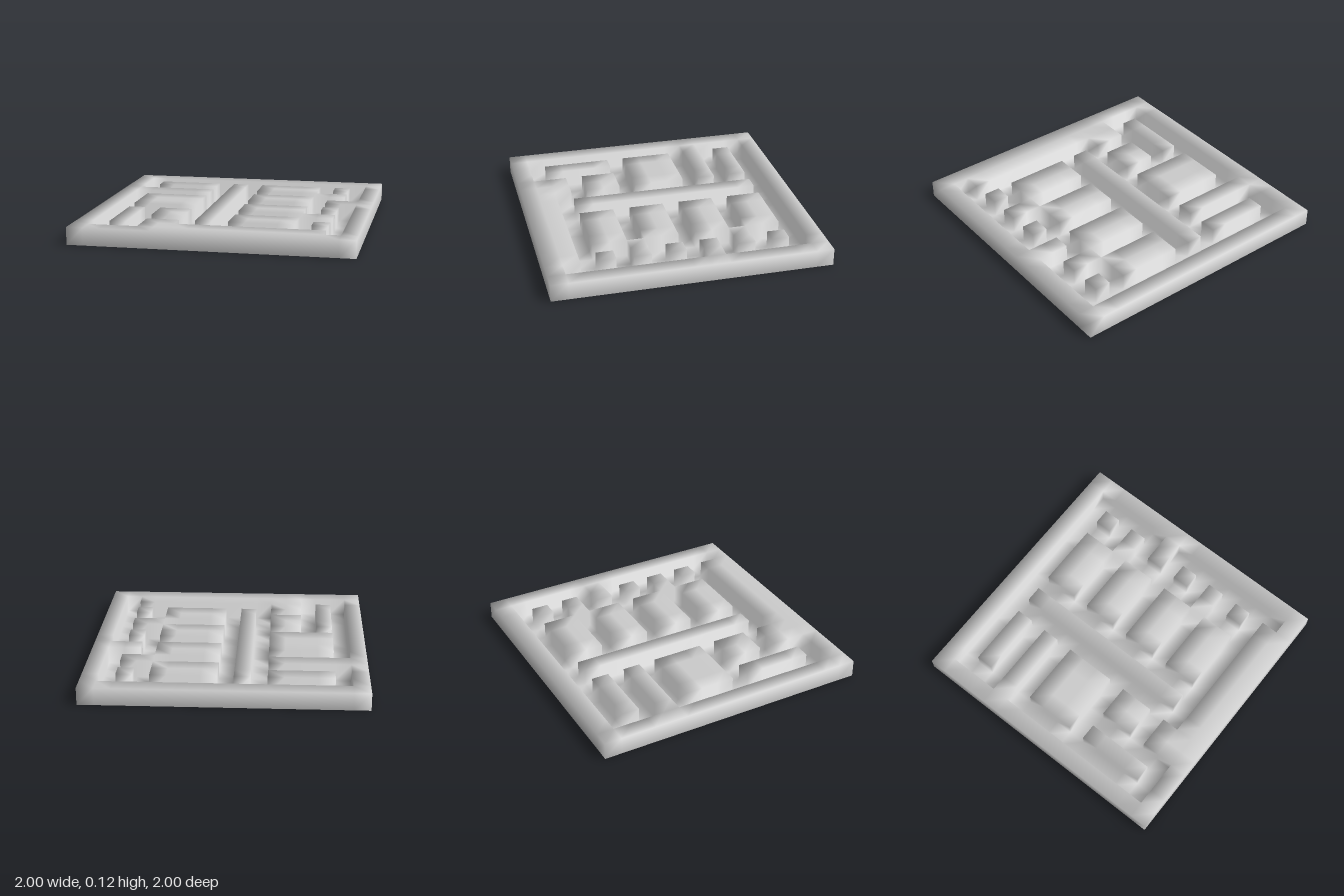
import * as THREE from 'three';

const NX = 17, NZ = 16, HEIGHT = 0.125;

// Raised blocks as grid cells: [x0, x1, z0, z1]
const BLOCKS = [
  // left half
  [2, 6, 2, 3], [1, 6, 4, 5], [2, 6, 6, 9], [2, 3, 10, 14], [4, 6, 10, 12],
  // front bar with its foot
  [4, 6, 13, 15], [6, 15, 14, 15],
  // long central spine
  [7, 8, 2, 13],
  // four wide blocks
  [9, 13, 2, 4], [9, 13, 5, 7], [9, 13, 8, 10], [9, 13, 11, 13],
  // small blocks along the right-hand edge
  [14, 15, 2, 3], [13, 15, 4, 5], [14, 16, 6, 7], [14, 15, 8, 9], [13, 15, 10, 11], [14, 15, 12, 13],
];

const inside = (i, j) => i >= 0 && j >= 0 && i < NX && j < NZ;

function partAt(i, j) {
  if (i === 0 || j === 0 || i === NX - 1 || j === NZ - 1) return 'rim';
  return BLOCKS.some(([a, b, c, d]) => i >= a && i < b && j >= c && j < d) ? 'blocks' : 'floor';
}

export function createModel() {
  // Shared grid corners at floor level (0) and top level (1)
  const positions = [];
  for (let level = 0; level < 2; level++)
    for (let j = 0; j <= NZ; j++)
      for (let i = 0; i <= NX; i++)
        positions.push(-1 + (2 * i) / NX, level * HEIGHT, -1 + (2 * j) / NZ);
  const vertex = ([i, j], level) => (level * (NZ + 1) + j) * (NX + 1) + i;

  const faces = { floor: [], rim: [], blocks: [] };
  const quad = (list, a, b, c, d) => list.push(a, b, c, a, c, d);
  const neighbours = [[-1, 0], [0, 1], [1, 0], [0, -1]];

  for (let j = 0; j < NZ; j++) {
    for (let i = 0; i < NX; i++) {
      const part = partAt(i, j);
      const level = part === 'floor' ? 0 : 1;
      const corners = [[i, j], [i, j + 1], [i + 1, j + 1], [i + 1, j]];
      quad(faces[part], ...corners.map((c) => vertex(c, level)));
      if (level === 0) continue;

      // Upright sides wherever a raised cell meets the floor or the outside
      neighbours.forEach(([di, dj], k) => {
        if (inside(i + di, j + dj) && partAt(i + di, j + dj) !== 'floor') return;
        const a = corners[k], b = corners[(k + 1) % 4];
        quad(faces[part], vertex(a, 0), vertex(b, 0), vertex(b, 1), vertex(a, 1));
      });
    }
  }

  // Smooth normals run across the whole sheet, so all parts share them
  const sheet = new THREE.BufferGeometry();
  sheet.setAttribute('position', new THREE.Float32BufferAttribute(positions, 3));
  sheet.setIndex([...faces.floor, ...faces.rim, ...faces.blocks]);
  sheet.computeVertexNormals();

  const material = new THREE.MeshStandardMaterial({ color: 0xcccccc, side: THREE.DoubleSide });
  const model = new THREE.Group();
  model.name = 'mazePanel';
  for (const [name, index] of Object.entries(faces)) {
    const geometry = new THREE.BufferGeometry();
    geometry.setAttribute('position', sheet.attributes.position);
    geometry.setAttribute('normal', sheet.attributes.normal);
    geometry.setIndex(index);
    const mesh = new THREE.Mesh(geometry, material);
    mesh.name = name;
    model.add(mesh);
  }
  return model;
}
